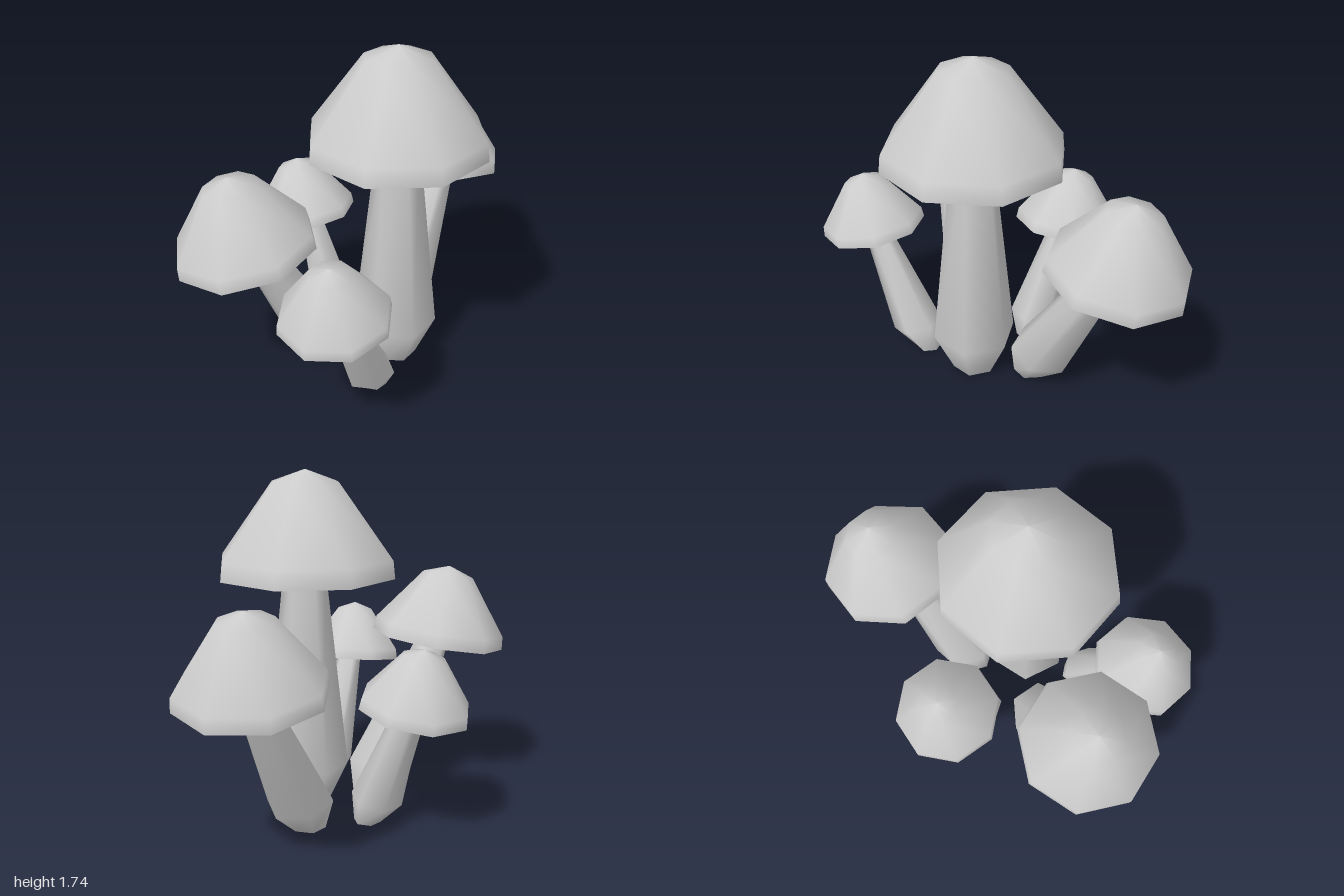
import * as THREE from 'three';
import { mergeVertices } from 'three/addons/utils/BufferGeometryUtils.js';

const UP = new THREE.Vector3(0, 1, 0);
const V = (p) => new THREE.Vector3(...p);

// Each mushroom: size, cap rim centre, cap axis, turn about the axis,
// and the stem's foot, bulge and top centres
const MUSHROOMS = [
  { name: 'centreMushroom', size: 1, rim: [0.115, 1.22, 0.09], axis: [0, 1, 0], turn: 0,
    stem: [[0.117, 0, 0.095], [0.117, 0.22, 0.095], [0.117, 1.3, 0.1]] },
  { name: 'leftMushroom', size: 0.775, rim: [0.65, 0.81, -0.44], axis: [0.05, 0.395, -0.045], turn: -0.2,
    stem: [[0.25, 0, -0.18], [0.315, 0.17, -0.22], [0.67, 0.88, -0.42]] },
  { name: 'rightMushroom', size: 0.775, rim: [-0.655, 0.81, 0.03], axis: [-0.067, 0.395, -0.005], turn: 0.14,
    stem: [[-0.2, 0, -0.04], [-0.27, 0.17, -0.02], [-0.655, 0.88, 0.02]] },
  { name: 'frontMushroom', size: 0.6, rim: [-0.4, 0.635, 0.51], axis: [-0.04, 0.31, 0.04], turn: -0.14,
    stem: [[-0.105, 0, 0.295], [-0.15, 0.13, 0.345], [-0.395, 0.68, 0.52]] },
  { name: 'backMushroom', size: 0.6, rim: [-0.15, 0.635, -0.505], axis: [-0.025, 0.31, -0.045], turn: -0.27,
    stem: [[-0.04, 0, -0.27], [-0.07, 0.13, -0.31], [-0.145, 0.68, -0.5]] },
];

// Hollow eight-sided cap, rim at the origin
function capGeometry(size) {
  const profile = [[0.457, 0], [0.447, 0.09], [0.172, 0.46], [0, 0.52]];
  return new THREE.LatheGeometry(profile.map(([r, y]) => new THREE.Vector2(r * size, y * size)), 8);
}

// Six-sided stem: flat foot, leaning bulge, narrow top
function stemGeometry(size, points, turn) {
  const centres = points.map(V);
  const lean = new THREE.Quaternion().setFromUnitVectors(UP, centres[2].clone().sub(centres[1]).normalize());
  const rings = [0, 0.5, 1].map((t, i) => ({
    centre: centres[i],
    radius: [0.115, 0.217, 0.1][i] * size,
    tilt: new THREE.Quaternion().slerp(lean, t),
  }));
  const geometry = new THREE.CylinderGeometry(1, 1, 2, 6, 2, true);
  const pos = geometry.attributes.position;
  const v = new THREE.Vector3();
  for (let i = 0; i < pos.count; i++) {
    v.fromBufferAttribute(pos, i);
    const ring = rings[Math.round(v.y) + 1];
    v.setY(0).applyAxisAngle(UP, turn).multiplyScalar(ring.radius);
    v.applyQuaternion(ring.tilt).add(ring.centre);
    pos.setXYZ(i, v.x, v.y, v.z);
  }
  geometry.deleteAttribute('uv');
  geometry.deleteAttribute('normal');
  const merged = mergeVertices(geometry);
  merged.computeVertexNormals();
  return merged;
}

export function createModel() {
  const model = new THREE.Group();
  model.name = 'mushroomCluster';
  const material = new THREE.MeshStandardMaterial({ color: 0xcccccc, side: THREE.DoubleSide });

  for (const { name, size, rim, axis, turn, stem } of MUSHROOMS) {
    const mushroom = new THREE.Group();
    mushroom.name = name;

    const cap = new THREE.Mesh(capGeometry(size), material);
    cap.name = 'cap';
    cap.position.set(...rim);
    cap.quaternion.setFromUnitVectors(UP, V(axis).normalize());
    cap.rotateY(turn);

    const stalk = new THREE.Mesh(stemGeometry(size, stem, turn), material);
    stalk.name = 'stem';

    mushroom.add(cap, stalk);
    model.add(mushroom);
  }
  return model;
}
